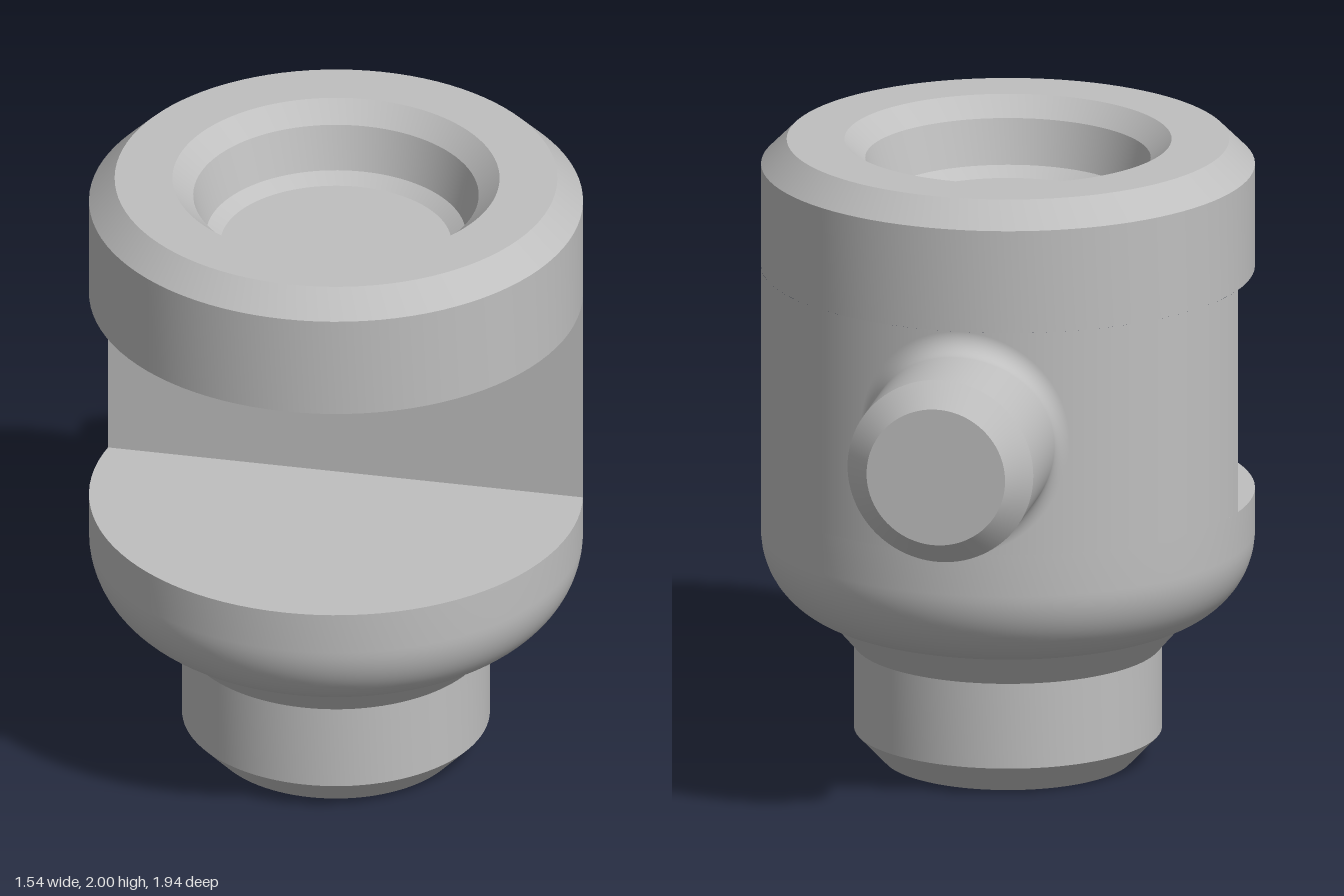
import * as THREE from 'three';
import { toCreasedNormals } from 'three/addons/utils/BufferGeometryUtils.js';

const SEG = 96;
const R = 0.77;           // body radius
const SLOT_LOW = 0.87, SLOT_HIGH = 1.59;
const SLOT_Z = -0.14;     // back wall of the slot, from the body axis
const PIN_R = 0.295, FILLET = 0.065, PIN_Y = 1.23;
const AXIS_Z = 0.2;       // the body axis sits forward of the centre

// Turned part with sharp edges kept between its faces
function turned(points) {
  const profile = points.map(([r, y]) => new THREE.Vector2(r, y));
  return toCreasedNormals(new THREE.LatheGeometry(profile, SEG), 0.4);
}

// Rolling-ball fillet from the body cylinder onto the side pin, then the straight pin
function filletedPin(endZ) {
  const steps = 12, rows = steps + 2;
  const pos = [], nor = [], idx = [];
  for (let i = 0; i <= SEG; i++) {
    const t = (i / SEG) * Math.PI * 2;
    const cx = (PIN_R + FILLET) * Math.cos(t), cy = (PIN_R + FILLET) * Math.sin(t);
    const cz = -Math.sqrt((R + FILLET) ** 2 - cx * cx);
    const toBody = new THREE.Vector3(-cx, 0, -cz).normalize();
    const toPin = new THREE.Vector3(-Math.cos(t), -Math.sin(t), 0);
    const angle = toBody.angleTo(toPin);
    for (let j = 0; j <= steps; j++) {
      const s = j / steps;
      const d = toBody.clone().multiplyScalar(Math.sin((1 - s) * angle))
        .addScaledVector(toPin, Math.sin(s * angle)).normalize();
      pos.push(cx + d.x * FILLET, PIN_Y + cy + d.y * FILLET, cz + d.z * FILLET);
      nor.push(-d.x, -d.y, -d.z);
    }
    pos.push(PIN_R * Math.cos(t), PIN_Y + PIN_R * Math.sin(t), endZ);
    nor.push(Math.cos(t), Math.sin(t), 0);
  }
  for (let i = 0; i < SEG; i++) {
    for (let j = 0; j < rows - 1; j++) {
      const a = i * rows + j, b = a + rows;
      idx.push(a, a + 1, b, b, a + 1, b + 1);
    }
  }
  const geo = new THREE.BufferGeometry();
  geo.setAttribute('position', new THREE.Float32BufferAttribute(pos, 3));
  geo.setAttribute('normal', new THREE.Float32BufferAttribute(nor, 3));
  geo.setIndex(idx);
  return geo;
}

export function createModel() {
  const metal = new THREE.MeshStandardMaterial({ color: 0xbfbfbf });
  metal.name = 'plain grey metal';

  const model = new THREE.Group();
  model.name = 'slottedFitting';
  const add = (name, geometry) => {
    const mesh = new THREE.Mesh(geometry, metal);
    mesh.name = name;
    mesh.position.z = AXIS_Z;
    model.add(mesh);
    return mesh;
  };

  // Foot with a blind hole below, flaring into the rounded bowl
  const bowl = [];
  for (let i = 0; i <= 16; i++) {
    const a = THREE.MathUtils.degToRad(-75 * (1 - i / 16));
    bowl.push([0.5 + 0.27 * Math.cos(a), 0.735 + 0.27 * Math.sin(a)]);
  }
  add('footAndBowl', turned([
    [0, 0.4], [0.16, 0.4], [0.16, 0.05], [0.21, 0], [0.39, 0],
    [0.48, 0.095], [0.48, 0.37], ...bowl, [R, SLOT_LOW], [0, SLOT_LOW],
  ]));

  // Back half of the body joining bowl and head
  const half = Math.acos(SLOT_Z / R);
  const height = SLOT_HIGH - SLOT_LOW, midY = (SLOT_HIGH + SLOT_LOW) / 2;
  add('backWall', new THREE.CylinderGeometry(
    R, R, height, SEG, 1, true, half, 2 * (Math.PI - half))).position.y = midY;
  add('slotFace', new THREE.PlaneGeometry(2 * R * Math.sin(half), height))
    .position.set(0, midY, AXIS_Z + SLOT_Z);

  // Chamfered head with a tapered recess in its top
  add('head', turned([
    [0, SLOT_HIGH], [R, SLOT_HIGH], [R, 1.92], [0.69, 2], [0.51, 2],
    [0.445, 1.94], [0.405, 1.8], [0.36, 1.77], [0, 1.77],
  ]));

  // Side pin at the back with a blended root and a chamfered tip
  add('pin', filletedPin(-0.895 - AXIS_Z));
  const tip = add('pinTip', turned([[PIN_R, 0], [0.22, 0.075], [0, 0.075]]));
  tip.rotation.x = -Math.PI / 2;
  tip.position.set(0, PIN_Y, -0.895);

  return model;
}
